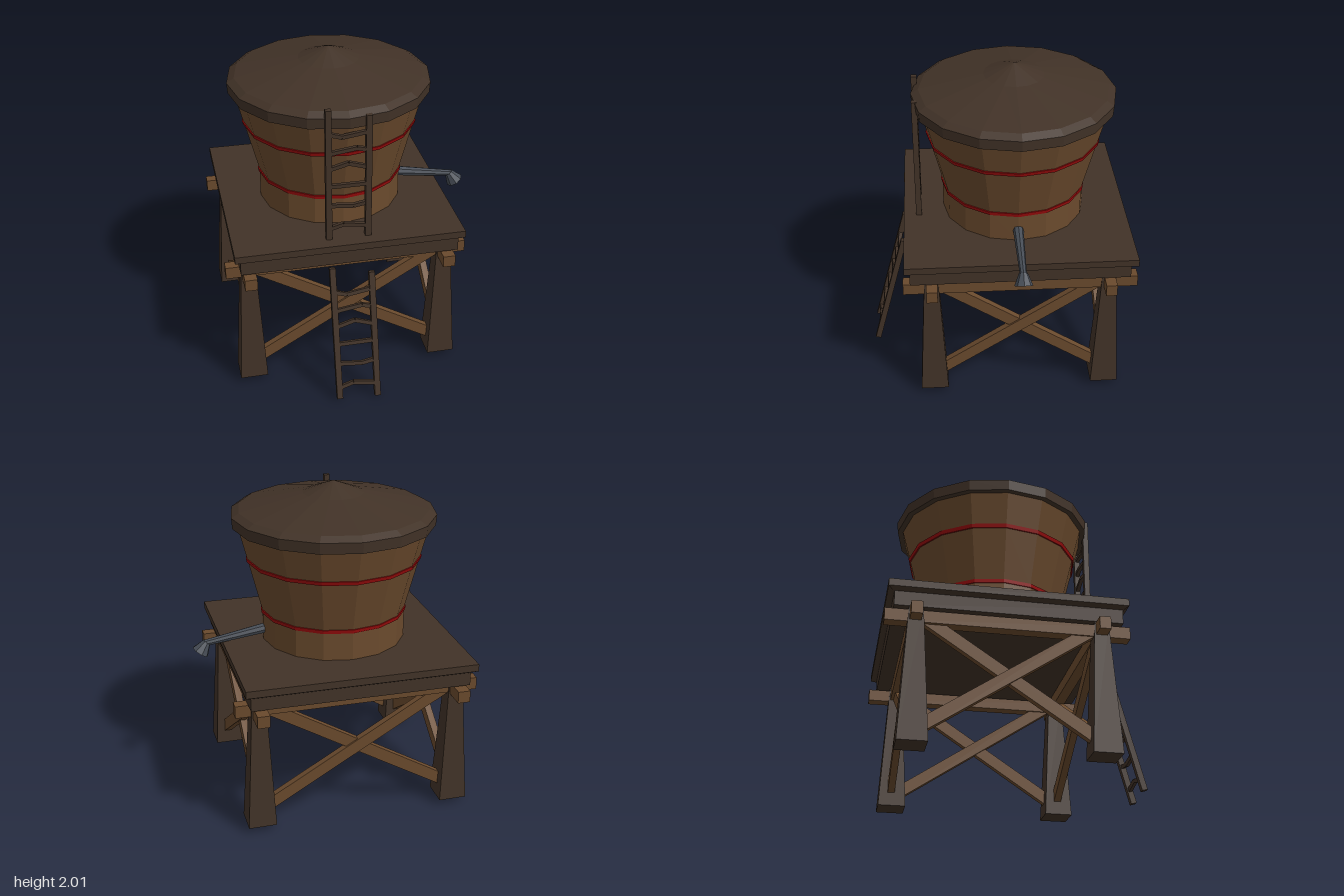
import * as THREE from 'three';

const mat = (name, color) => new THREE.MeshStandardMaterial({ name, color, flatShading: true });

export function createModel() {
  const dark = mat('dark wood', 0x413227);
  const wood = mat('light wood', 0x6a4a2d);
  const red = mat('red paint', 0x960a0a);
  const metal = mat('grey metal', 0x464c55);
  const model = new THREE.Group();
  model.name = 'waterTower';
  const CX = -0.075, CZ = -0.11; // tower axis

  function add(parent, name, geometry, material, x = 0, y = 0, z = 0) {
    const mesh = new THREE.Mesh(geometry, material);
    mesh.name = name;
    mesh.position.set(x, y, z);
    parent.add(mesh);
    return mesh;
  }
  const box = (parent, name, material, w, h, d, x, y, z) =>
    add(parent, name, new THREE.BoxGeometry(w, h, d), material, x, y, z);

  // square block that may taper, given by half-widths
  const taper = (top, bottom, h) =>
    new THREE.CylinderGeometry(top * Math.SQRT2, bottom * Math.SQRT2, h, 4).rotateY(Math.PI / 4);

  const lathe = (name, material, points) =>
    add(model, name, new THREE.LatheGeometry(points.map(p => new THREE.Vector2(...p)), 16), material, CX, 0, CZ);

  // straight bar between two points
  function bar(parent, name, material, a, b, height, depth) {
    const d = b.clone().sub(a);
    const mesh = box(parent, name, material, d.length(), height, depth, 0, 0, 0);
    mesh.position.copy(a).add(b).multiplyScalar(0.5);
    mesh.rotation.z = Math.atan2(d.y, d.x);
    return mesh;
  }

  // tank, hoops and roof
  lathe('tank', wood, [[0, 0.99], [0.455, 0.99], [0.455, 1.19], [0.542, 1.53], [0.602, 1.76]]);
  lathe('lowerHoop', red, [[0.45, 1.177], [0.462, 1.177], [0.465, 1.2], [0.45, 1.2]]);
  lathe('upperHoop', red, [[0.53, 1.518], [0.547, 1.518], [0.553, 1.542], [0.535, 1.542]]);
  lathe('roof', dark, [[0, 1.74], [0.632, 1.74], [0.637, 1.808], [0.59, 1.836], [0.19, 1.928], [0, 2]]);

  // platform: deck, bevel and skirt
  box(model, 'deck', dark, 1.43, 0.045, 1.43, CX, 0.9775, CZ - 0.003);
  add(model, 'deckBevel', taper(0.715, 0.69, 0.015), dark, CX, 0.9475, CZ - 0.003);
  box(model, 'platformSkirt', dark, 1.36, 0.092, 1.36, CX, 0.896, CZ);

  // legs and crossbeams
  for (const s of [-1, 1]) {
    const lx = CX - 0.005 + s * 0.62;
    const lz = CZ + s * 0.55;
    for (const t of [-1, 1])
      add(model, 'leg', taper(0.043, 0.0875, 0.827), dark, lx, 0.4385, CZ + t * 0.55);
    box(model, 'sideBeam', wood, 0.077, 0.075, 1.455, lx, 0.798, CZ - 0.003);
    box(model, 'crossBeam', wood, 1.52, 0.077, 0.068, CX - 0.003, 0.807, lz - 0.003);
  }

  // X braces on all four sides
  for (let i = 0; i < 4; i++) {
    const side = new THREE.Group();
    side.name = 'crossBrace';
    side.position.set(CX - 0.005, 0.47, CZ);
    side.rotation.y = i * Math.PI / 2;
    const run = i % 2 ? 0.51 : 0.58;
    const out = i % 2 ? 0.62 : 0.55;
    for (const s of [-1, 1])
      bar(side, 'brace', wood, new THREE.Vector3(-run, -0.34 * s, out + s * 0.006),
        new THREE.Vector3(run, 0.34 * s, out + s * 0.006), 0.075, 0.045);
    model.add(side);
  }

  // ladders with crooked rungs: left y, bend x, bend y, right y
  const rungs = [
    [0.07, -0.11, 0.096, 0.073], [0.235, -0.05, 0.22, 0.235], [0.365, -0.08, 0.365, 0.365],
    [0.48, -0.08, 0.512, 0.475], [0.585, -0.03, 0.608, 0.59], [0.712, -0.12, 0.687, 0.71],
  ];
  function ladder(name, y, z, tilt) {
    const g = new THREE.Group();
    g.name = name;
    g.position.set(0, y, z);
    g.rotation.x = tilt;
    box(g, 'leftRail', dark, 0.037, 0.865, 0.036, 0.041, 0.4175 - 0.015, 0).scale.y = 0.96;
    box(g, 'rightRail', dark, 0.037, 0.868, 0.036, -0.202, 0.434, 0);
    for (const [l, mx, my, r] of rungs) {
      const bend = new THREE.Vector3(mx, my, 0);
      bar(g, 'rung', dark, new THREE.Vector3(-0.2, l, 0), bend, 0.024, 0.024);
      bar(g, 'rung', dark, bend, new THREE.Vector3(0.04, r, 0), 0.024, 0.024);
    }
    model.add(g);
  }
  ladder('upperLadder', 0.997, 0.505, 0);
  ladder('lowerLadder', 0.006, 0.822, -0.257);

  // spout: tapered pipe and flared mouth
  function spoutPart(name, ax, ay, bx, by, ra, rb, open) {
    const dx = bx - ax, dy = by - ay;
    const geometry = new THREE.CylinderGeometry(rb, ra, Math.hypot(dx, dy), 8, 1, open);
    const mesh = add(model, name, geometry, metal, (ax + bx) / 2, (ay + by) / 2, CZ);
    mesh.rotation.z = Math.atan2(dy, dx) - Math.PI / 2;
  }
  spoutPart('spoutPipe', 0.34, 1.077, 0.755, 1.01, 0.034, 0.021, false);
  spoutPart('spoutMouth', 0.742, 1.016, 0.785, 0.953, 0.026, 0.057, false);

  return model;
}
